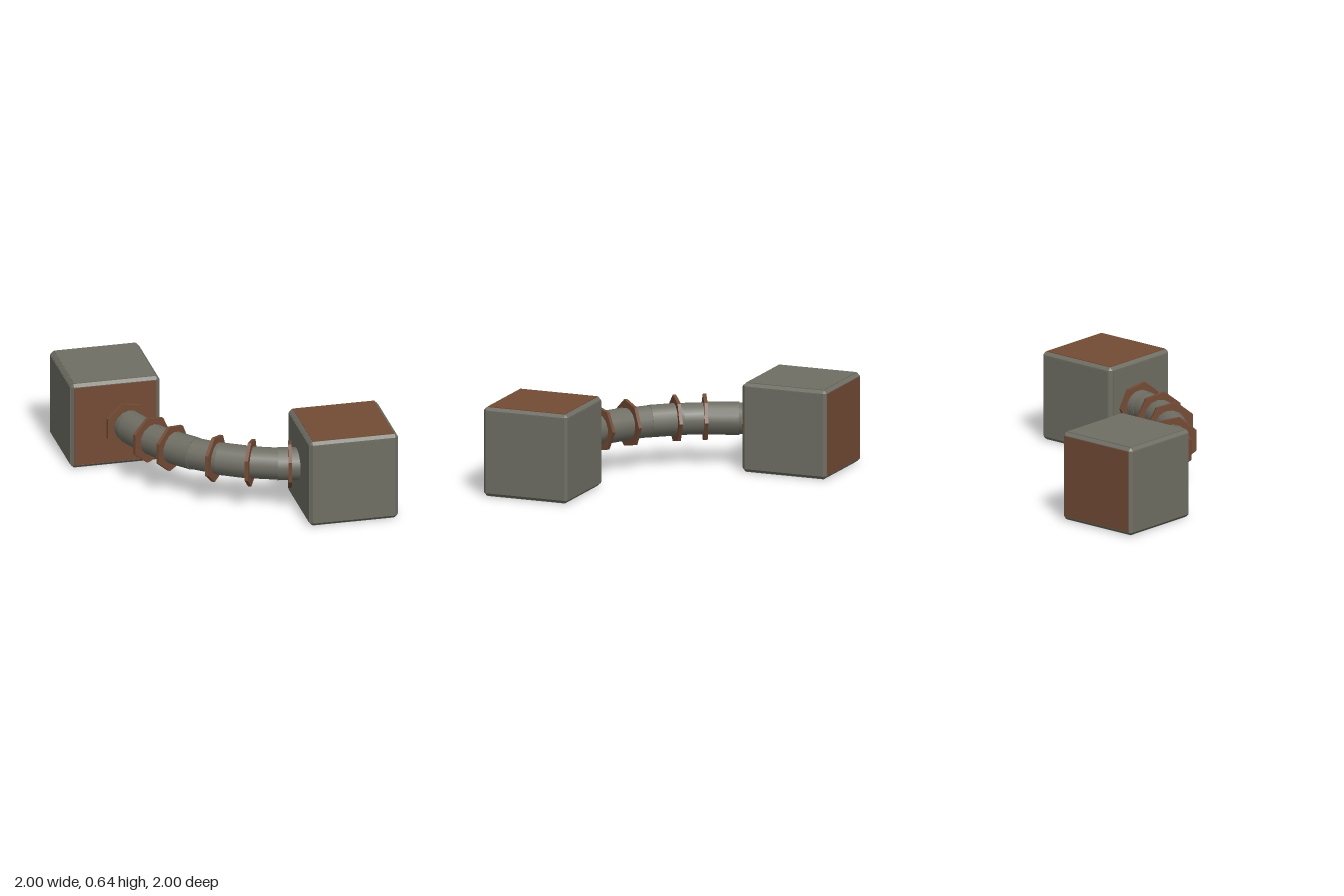
import * as THREE from 'three';
import { ConvexGeometry } from 'three/addons/geometries/ConvexGeometry.js';

const gray = new THREE.MeshStandardMaterial({ name: 'weathered gray', color: 0x6e6e64 });
const brown = new THREE.MeshStandardMaterial({ name: 'rust brown', color: 0x734b34 });

const BODY = 0.628, PANEL = 0.58, CHAMFER = 0.02;
const ARC_RADIUS = 1.24, HEIGHT = 0.322;

function addMesh(parent, name, geometry, material) {
  const mesh = new THREE.Mesh(geometry, material);
  mesh.name = name;
  parent.add(mesh);
  return mesh;
}

// Cube with cut edges: each corner becomes three points
function chamferedCube(size, cut) {
  const h = size / 2, k = h - cut, points = [];
  for (const x of [-1, 1]) for (const y of [-1, 1]) for (const z of [-1, 1]) {
    points.push(
      new THREE.Vector3(x * h, y * k, z * k),
      new THREE.Vector3(x * k, y * h, z * k),
      new THREE.Vector3(x * k, y * k, z * h));
  }
  return new ConvexGeometry(points);
}

// Cube block with a slightly raised panel on every side
function makeBlock(name, brownSides) {
  const block = new THREE.Group();
  block.name = name;
  addMesh(block, 'blockFrame', chamferedCube(BODY, CHAMFER), gray);
  const sides = {
    left: [1, 0, 0], right: [-1, 0, 0], top: [0, 1, 0],
    bottom: [0, -1, 0], front: [0, 0, 1], back: [0, 0, -1],
  };
  for (const [side, d] of Object.entries(sides)) {
    const dims = d.map((v) => (v ? 0.008 : PANEL));
    const panel = addMesh(block, side + 'Panel', new THREE.BoxGeometry(...dims),
      brownSides.includes(side) ? brown : gray);
    panel.position.set(...d).multiplyScalar(BODY / 2);
  }
  return block;
}

export function createModel() {
  const model = new THREE.Group();
  model.name = 'linkedBlocks';

  const rear = makeBlock('rearBlock', ['front', 'back']);
  rear.position.set(-0.682, 0.318, -0.682);
  const front = makeBlock('frontBlock', ['top']);
  front.position.set(0.682, 0.318, 0.682);
  model.add(rear, front);

  // Curved pipe, swept around a pivot; local +x points outward, z along the pipe
  const pipe = new THREE.Group();
  pipe.name = 'curvedPipe';
  pipe.position.set(0.597, HEIGHT, -0.597);
  model.add(pipe);

  const addOnArc = (name, geometry, material, degrees, radius) => {
    const holder = new THREE.Group();
    holder.name = name + 'Holder';
    holder.rotation.y = THREE.MathUtils.degToRad(degrees - 135);
    pipe.add(holder);
    addMesh(holder, name, geometry, material).position.x = radius;
  };

  // Overlapping straight pipe sections
  const count = 8, step = 9.5;
  for (let i = 0; i < count; i++) {
    const r = i % 2 ? 0.115 : 0.111;
    const section = new THREE.CylinderGeometry(r, r, 0.225, 14).rotateX(Math.PI / 2);
    section.rotateZ(i * 0.3);
    addOnArc('pipeSection', section, gray, (i - (count - 1) / 2) * step, ARC_RADIUS);
  }

  // Seven-sided collars with a corner on the inside of the bend
  const collar = new THREE.CylinderGeometry(0.169, 0.169, 0.024, 7, 1, false, -Math.PI / 2)
    .rotateX(Math.PI / 2).toNonIndexed();
  collar.computeVertexNormals();
  for (const degrees of [-31.5, -17.9, -8.5, 7.7, 19.5, 32]) {
    addOnArc('collar', collar, brown, degrees, ARC_RADIUS + 0.008);
  }
  return model;
}
